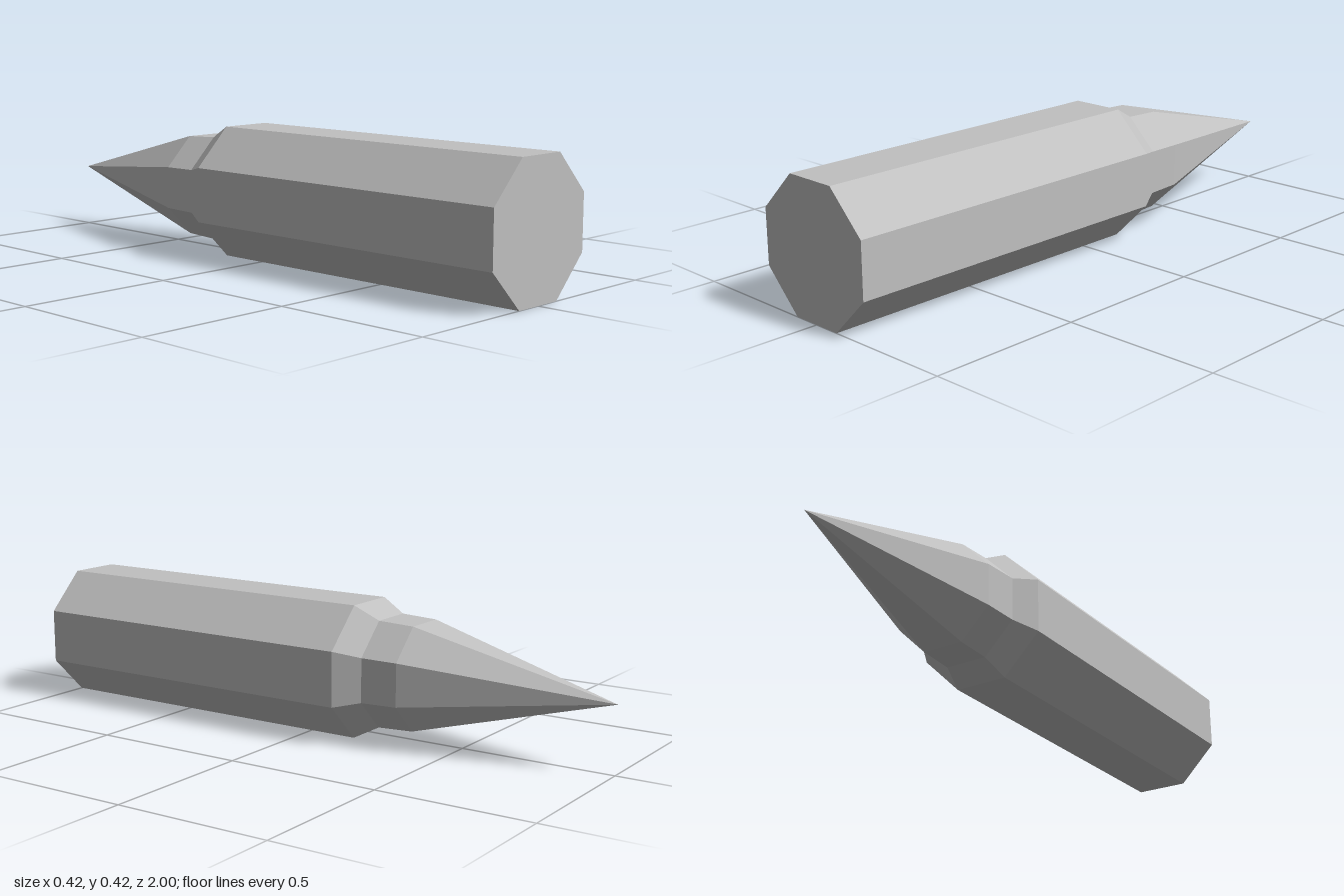
import * as THREE from 'three';

const SIDES = 8;
const CENTRE_Y = 0.21;

// Faceted octagonal section along z, from its front (z0) to its back (z1);
// radii are measured to the flats.
function section(name, z0, r0, z1, r1, material) {
  const toCorner = 1 / Math.cos(Math.PI / SIDES);
  let geometry = new THREE.CylinderGeometry(r1 * toCorner, r0 * toCorner, z0 - z1, SIDES, 1, true);
  geometry.rotateY(Math.PI / SIDES).rotateX(-Math.PI / 2);
  geometry = geometry.toNonIndexed();
  geometry.computeVertexNormals();
  const mesh = new THREE.Mesh(geometry, material);
  mesh.name = name;
  mesh.position.set(0, CENTRE_Y, (z0 + z1) / 2);
  return mesh;
}

export function createModel() {
  const group = new THREE.Group();
  group.name = 'pointedRound';
  const grey = new THREE.MeshStandardMaterial({ color: 0xc0c0c0 });
  grey.name = 'grey';

  // Casing, shoulder, neck and pointed tip, front to back
  group.add(
    section('casing', 1, 0.211, -0.16, 0.211, grey),
    section('shoulder', -0.16, 0.211, -0.24, 0.169, grey),
    section('neck', -0.24, 0.169, -0.36, 0.164, grey),
    section('tip', -0.36, 0.164, -1, 0, grey)
  );

  // Flat base closing the casing at the front
  const base = new THREE.Mesh(
    new THREE.CircleGeometry(0.211 / Math.cos(Math.PI / SIDES), SIDES, Math.PI / SIDES),
    grey
  );
  base.name = 'base';
  base.position.set(0, CENTRE_Y, 1);
  group.add(base);

  group.position.y = 0.001;
  return group;
}
